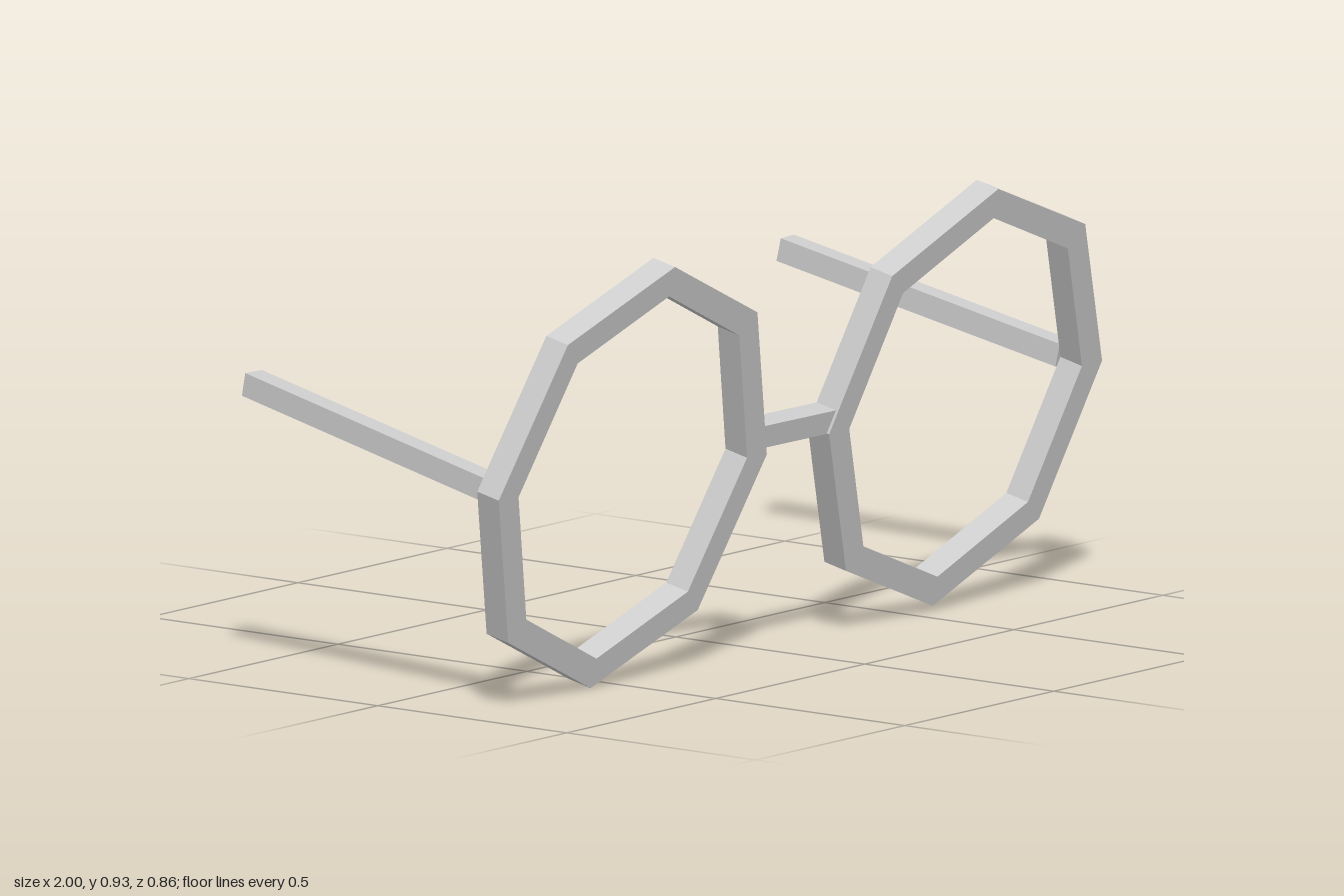
import * as THREE from 'three';

const material = new THREE.MeshStandardMaterial({ color: 0xcccccc, flatShading: true });
const TILT = 0.215; // forward lean of the front frame
const YAW = -0.011; // slight turn of the whole frame

// Eight corners, a little taller than wide
function octagon(rx, ry) {
  return Array.from({ length: 8 }, (_, i) => {
    const a = (i * Math.PI) / 4;
    return new THREE.Vector2(Math.cos(a) * rx, Math.sin(a) * ry);
  });
}

function rimGeometry() {
  const depth = 0.059;
  const shape = new THREE.Shape(octagon(0.448, 0.465));
  shape.holes.push(new THREE.Path(octagon(0.382, 0.4)));
  const geometry = new THREE.ExtrudeGeometry(shape, { depth, bevelEnabled: false });
  return geometry.translate(0, 0, -depth / 2);
}

// Square bar running between two points
function bar(name, from, to, size) {
  const a = new THREE.Vector3(...from);
  const b = new THREE.Vector3(...to);
  const mesh = new THREE.Mesh(new THREE.BoxGeometry(size, size, a.distanceTo(b)), material);
  mesh.name = name;
  mesh.position.copy(a).add(b).multiplyScalar(0.5);
  mesh.lookAt(b);
  return mesh;
}

export function createModel() {
  const group = new THREE.Group();
  group.name = 'glasses';

  // Octagonal rims, each rolled slightly outward
  const geometry = rimGeometry();
  for (const side of [-1, 1]) {
    const rim = new THREE.Mesh(geometry, material);
    rim.name = side > 0 ? 'leftRim' : 'rightRim';
    rim.position.set(side * 0.552, 0.469 + side * 0.005, 0.298 + side * 0.005);
    rim.rotation.set(TILT, YAW, side * 0.034);
    group.add(rim);
  }

  // Bridge between the rims
  const bridge = new THREE.Mesh(new THREE.BoxGeometry(0.27, 0.05, 0.052), material);
  bridge.name = 'bridge';
  bridge.position.set(0, 0.484, 0.296);
  bridge.rotation.set(TILT, YAW, 0);
  group.add(bridge);

  // Temples, rising and converging towards the back
  group.add(
    bar('leftTemple', [0.953, 0.496, 0.276], [0.888, 0.65, -0.411], 0.05),
    bar('rightTemple', [-0.954, 0.485, 0.272], [-0.886, 0.621, -0.423], 0.05)
  );

  return group;
}
